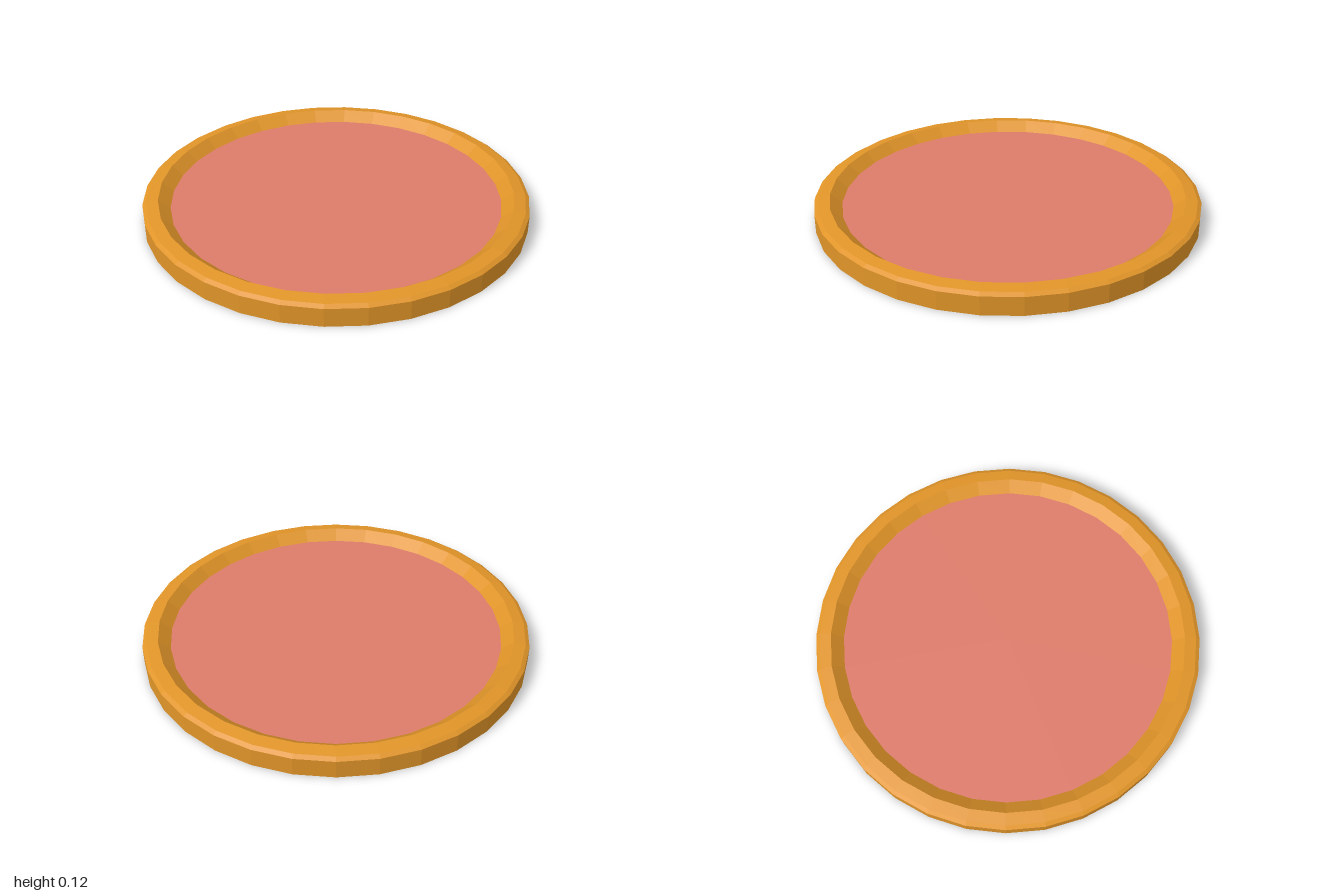
import * as THREE from 'three';

const SIDES = 32;
const FLOOR_Y = 0.07;
const FLOOR_R = 0.86;

// Faceted surface of revolution from [radius, height] pairs
function turned(name, profile, color) {
  const points = profile.map(([r, y]) => new THREE.Vector2(r, y));
  const geometry = new THREE.LatheGeometry(points, SIDES).toNonIndexed();
  geometry.computeVertexNormals();
  const mesh = new THREE.Mesh(geometry, new THREE.MeshStandardMaterial({ color, flatShading: true }));
  mesh.name = name;
  return mesh;
}

export function createModel() {
  const group = new THREE.Group();
  group.name = 'roundTray';

  // Underside, outer wall, bevelled lip and sloping inner wall
  group.add(turned('rim', [
    [0, 0], [1, 0], [1, 0.097], [0.98, 0.11], [0.92, 0.12], [FLOOR_R, FLOOR_Y],
  ], 0xe09428));

  // Recessed inlay
  const inlay = new THREE.Mesh(
    new THREE.CircleGeometry(FLOOR_R, SIDES).rotateX(-Math.PI / 2),
    new THREE.MeshStandardMaterial({ color: 0xdd7b6a, flatShading: true }),
  );
  inlay.name = 'inlay';
  inlay.position.y = FLOOR_Y;
  group.add(inlay);

  return group;
}
